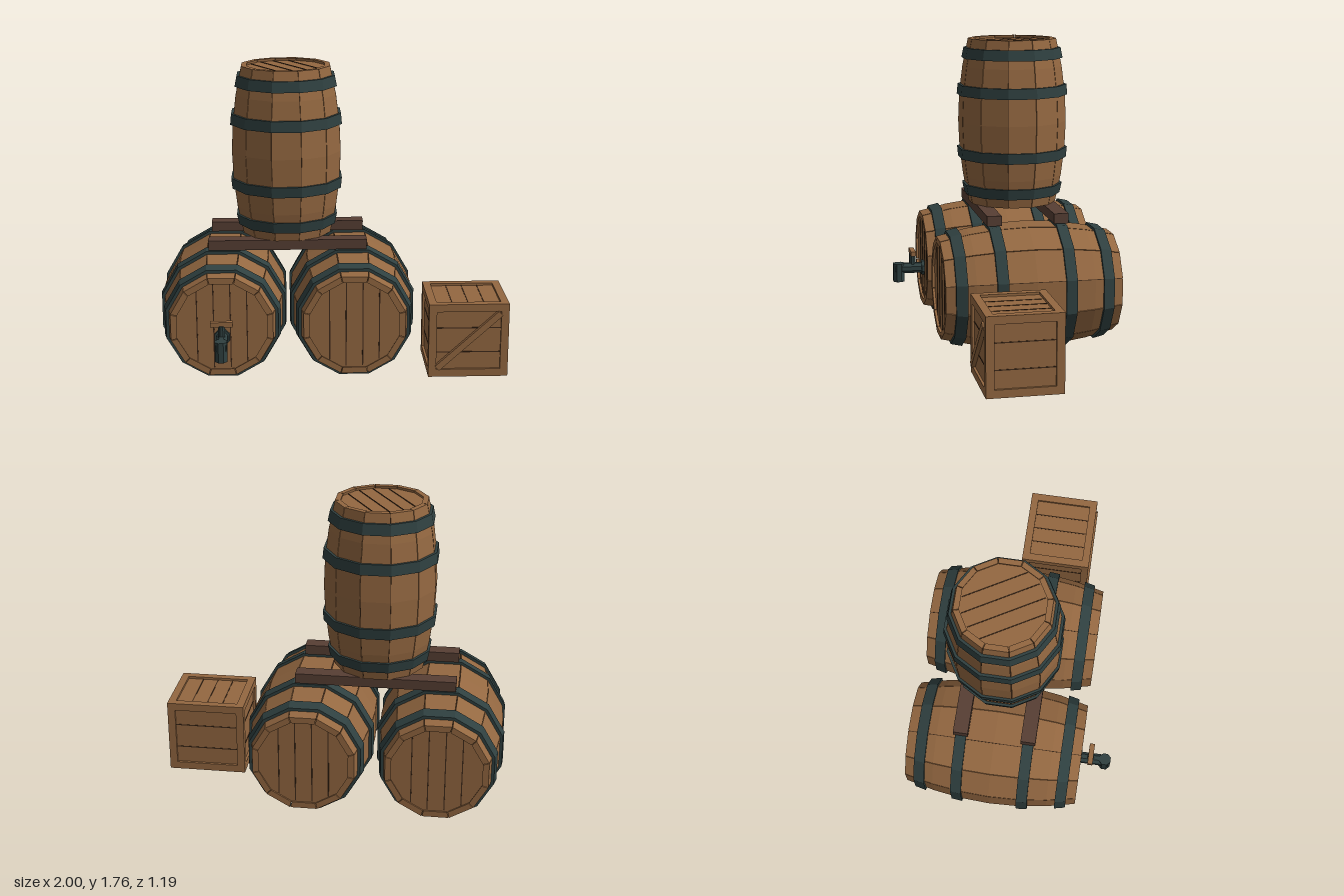
import * as THREE from 'three';
import { mergeGeometries } from 'three/addons/utils/BufferGeometryUtils.js';

const SIDES = 12, HALF = Math.PI / SIDES, LEN = 1.015;

const mat = (name, color) => {
  const m = new THREE.MeshStandardMaterial({ color, flatShading: true });
  m.name = name;
  return m;
};

export function createModel() {
  const wood = mat('oak wood', 0x946841);
  const beamWood = mat('dark beam wood', 0x573f34);
  const iron = mat('dark iron', 0x2f4040);
  const seam = mat('plank seam', 0x3f2a1a);

  const mesh = (name, geo, material, parent, x = 0, y = 0, z = 0) => {
    const m = new THREE.Mesh(geo, material);
    m.name = name;
    m.position.set(x, y, z);
    parent.add(m);
    return m;
  };
  const group = (name, parent) => {
    const g = new THREE.Group();
    g.name = name;
    parent.add(g);
    return g;
  };
  const box = (w, h, d) => new THREE.BoxGeometry(w, h, d);

  // bulging barrel profile: distance from axis to the flat of a stave
  const bulge = (y) => 0.353 - 0.067 * (y / (LEN / 2)) ** 2;
  // twelve-sided turned ring from [apothem, y] pairs
  const ring = (pts) => new THREE.LatheGeometry(
    pts.map(([r, y]) => new THREE.Vector2(r / Math.cos(HALF), y)), SIDES, HALF);

  // one stave: a box bent to the bulge, narrowing towards the ends
  function staveGeometry() {
    const g = new THREE.BoxGeometry(1, LEN, 1, 1, 6, 1);
    const p = g.attributes.position;
    for (let i = 0; i < p.count; i++) {
      const y = p.getY(i);
      const r = bulge(y) - (p.getZ(i) < 0 ? 0.035 : 0);
      p.setX(i, Math.sign(p.getX(i)) * (r * Math.tan(HALF) - 0.002));
      p.setZ(i, r);
    }
    return g;
  }

  // barrel standing along y, centred on the origin
  function barrel(name, parent) {
    const g = group(name, parent);
    const staves = [];
    for (let i = 0; i < SIDES; i++) staves.push(staveGeometry().rotateY(i * 2 * HALF));
    mesh('staves', mergeGeometries(staves), wood, g);

    // dark core that shows in the gaps between staves
    const core = [];
    for (let i = 0; i <= 6; i++) {
      const y = (i / 6 - 0.5) * (LEN - 0.006);
      core.push([bulge(y) - 0.007, y]);
    }
    mesh('staveGaps', ring(core), seam, g);

    // iron hoops follow the bulge
    for (const y of [-0.42, -0.195, 0.195, 0.42]) {
      const a = y - 0.032, b = y + 0.032;
      mesh('hoop', ring([[bulge(a) - 0.01, a], [bulge(a) + 0.015, a],
        [bulge(b) + 0.015, b], [bulge(b) - 0.01, b]]), iron, g);
    }

    // recessed heads with plank seams
    for (const s of [-1, 1]) {
      const y = s * (LEN / 2 - 0.025);
      const r = 0.26;
      const head = new THREE.CylinderGeometry(r / Math.cos(HALF), r / Math.cos(HALF), 0.02, SIDES, 1, false, HALF);
      mesh('head', head, wood, g, 0, y, 0);
      for (const x of [-0.187, -0.14, -0.047, 0.047, 0.14].slice(1)) {
        mesh('headSeam', box(0.006, 0.004, 2 * Math.sqrt(0.25 ** 2 - x * x)), seam, g, x, y + s * 0.011, 0);
      }
    }
    return g;
  }

  const model = new THREE.Group();
  model.name = 'barrelsAndCrate';

  // two lying barrels
  for (const [name, x] of [['rightLyingBarrel', -0.639], ['leftLyingBarrel', 0.104]]) {
    const b = barrel(name, model);
    b.rotation.x = Math.PI / 2;
    b.position.set(x, 0.365, -0.09);
  }

  // standing barrel on top
  const top = barrel('standingBarrel', model);
  top.scale.set(0.88, 0.96, 0.88);
  top.rotation.y = Math.PI / 6;
  top.position.set(-0.269, 1.273, -0.087);

  // support beams
  for (const z of [-0.285, 0.105]) {
    mesh('supportBeam', box(0.905, 0.058, 0.085), beamWood, model, -0.267, 0.758, z);
  }

  // tap
  const tap = group('tap', model);
  tap.position.set(-0.639, 0, 0);
  const tube = (r, h) => new THREE.CylinderGeometry(r, r, h, 8, 1, false, Math.PI / 8);
  mesh('tapPipe', tube(0.034, 0.19).rotateX(Math.PI / 2), iron, tap, 0, 0.303, 0.49);
  mesh('tapCollar', tube(0.047, 0.025).rotateX(Math.PI / 2), iron, tap, 0, 0.303, 0.408);
  mesh('tapSpout', tube(0.037, 0.115), iron, tap, 0, 0.278, 0.562);
  mesh('tapStem', tube(0.021, 0.08), iron, tap, 0, 0.355, 0.475);
  mesh('tapHandle', box(0.125, 0.028, 0.03), wood, tap, 0, 0.404, 0.475);

  // crate
  const W = 0.46, H = 0.44, D = 0.42, T = 0.014, F = 0.045;
  const crate = group('crate', model);
  crate.position.set(0.766, H / 2, 0.095);
  mesh('crateCore', box(W - 2 * T, H - 2 * T, D - 2 * T), wood, crate);
  mesh('crateBottom', box(W, T, D), wood, crate, 0, -H / 2 + T / 2, 0);

  // framed face in the xy plane, outside at z = 0, with plank seams
  function face(name, w, h, count, upright) {
    const g = group(name, crate);
    const rect = (P, a, b) => new P([[-a, -b], [a, -b], [a, b], [-a, b]].map(([x, y]) => new THREE.Vector2(x, y)));
    const s = rect(THREE.Shape, w / 2, h / 2);
    s.holes.push(rect(THREE.Path, w / 2 - F, h / 2 - F));
    mesh('frame', new THREE.ExtrudeGeometry(s, { depth: T, bevelEnabled: false }), wood, g, 0, 0, -T);
    const step = upright ? (w - 2 * F) / count : h / count;
    for (let i = 1; i < count; i++) {
      const o = (i - count / 2) * step;
      if (upright) mesh('plankSeam', box(0.006, h - 2 * F, 0.004), seam, g, o, 0, -T);
      else mesh('plankSeam', box(w - 2 * F, 0.006, 0.004), seam, g, 0, o, -T);
    }
    return g;
  }
  const front = face('crateFront', W, H, 3, false);
  front.position.z = D / 2;
  const back = face('crateBack', W, H, 3, false);
  back.rotation.y = Math.PI;
  back.position.z = -D / 2;
  for (const s of [-1, 1]) {
    const side = face('crateSide', D, H, 3, false);
    side.rotation.y = s * Math.PI / 2;
    side.position.x = s * W / 2;
  }
  const lid = face('crateTop', W, D, 4, true);
  lid.rotation.x = -Math.PI / 2;
  lid.position.y = H / 2;

  // diagonal brace on the front
  const brace = mesh('crateBrace', box(0.49, 0.036, 0.024), wood, front, 0, 0, -0.002);
  brace.rotation.z = Math.atan2(0.34, 0.37);

  return model;
}
